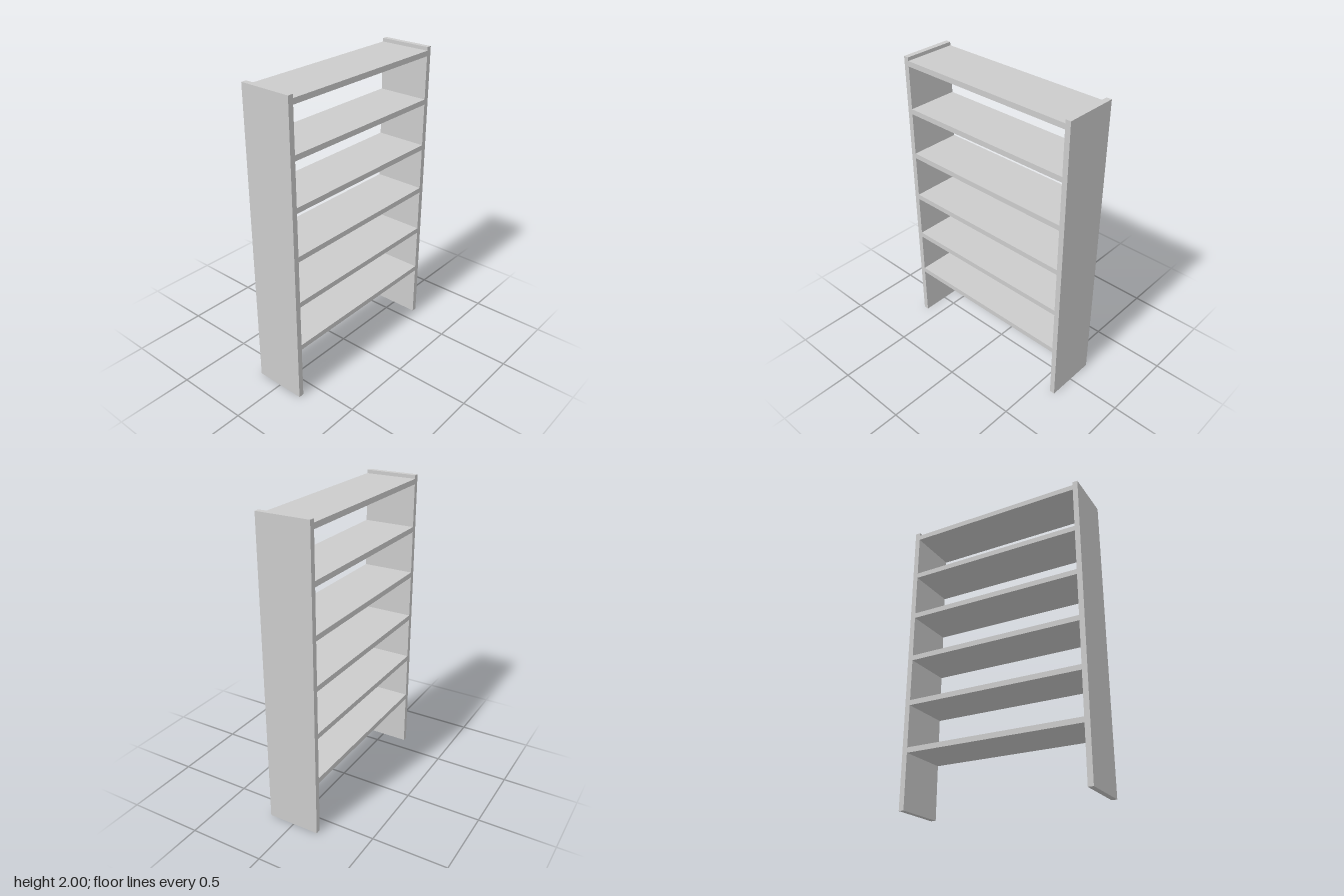
import * as THREE from 'three';

const HEIGHT = 2, WIDTH = 1.267, DEPTH = 0.349, BOARD = 0.035;
const SHELVES = 6, FIRST_SHELF = 0.377, LAST_SHELF = 1.96;

export function createModel() {
  const group = new THREE.Group();
  group.name = 'shelfUnit';
  const material = new THREE.MeshStandardMaterial({ color: 0xcccccc });

  const addBoard = (name, w, h, x, y) => {
    const mesh = new THREE.Mesh(new THREE.BoxGeometry(w, h, DEPTH), material);
    mesh.name = name;
    mesh.position.set(x, y, 0);
    group.add(mesh);
  };

  // Upright side panels
  const sideX = (WIDTH - BOARD) / 2;
  addBoard('leftSidePanel', BOARD, HEIGHT, sideX, HEIGHT / 2);
  addBoard('rightSidePanel', BOARD, HEIGHT, -sideX, HEIGHT / 2);

  // Evenly spaced shelves between the panels
  const pitch = (LAST_SHELF - FIRST_SHELF) / (SHELVES - 1);
  for (let i = 0; i < SHELVES; i++) {
    addBoard(`shelf${i + 1}`, WIDTH - 2 * BOARD, BOARD, 0, FIRST_SHELF + i * pitch);
  }

  return group;
}
